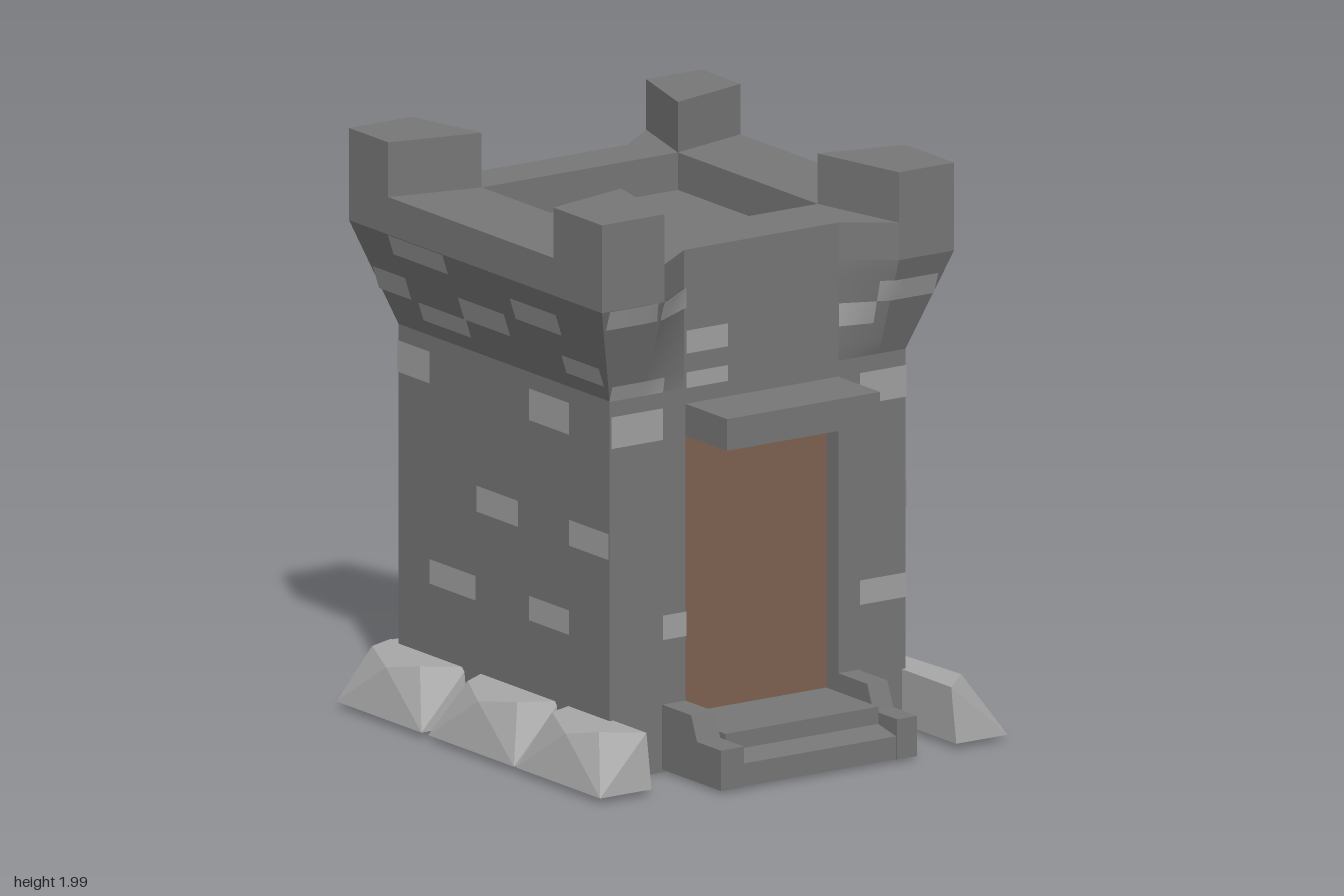
import * as THREE from 'three';
import { ConvexGeometry } from 'three/addons/geometries/ConvexGeometry.js';

const mat = (color, extra = {}) => new THREE.MeshStandardMaterial({ color, ...extra });
const V = (x, y, z) => new THREE.Vector3(x, y, z);
const clamp = THREE.MathUtils.clamp;

// Vertical prism over a plan outline given as [x, z] points
function prism(points, y0, y1, hole) {
  const toV2 = (list) => list.map(([x, z]) => new THREE.Vector2(x, -z));
  const shape = new THREE.Shape(toV2(points));
  if (hole) shape.holes.push(new THREE.Path(toV2(hole)));
  const g = new THREE.ExtrudeGeometry(shape, { depth: y1 - y0, bevelEnabled: false });
  g.rotateX(-Math.PI / 2);
  return g.translate(0, y0, 0);
}

// Prism along x over a side profile given as [z, y] points
function sidePrism(points, x0, x1) {
  const shape = new THREE.Shape(points.map(([z, y]) => new THREE.Vector2(-z, y)));
  const g = new THREE.ExtrudeGeometry(shape, { depth: x1 - x0, bevelEnabled: false });
  g.rotateY(Math.PI / 2);
  return g.translate(x0, 0, 0);
}

// Tower wall positions: the corners flare out between FLARE0 and FLARE1
const FLARE0 = 1.33, FLARE1 = 1.68, RIM = 1.81;
const flare = (y) => clamp((y - FLARE0) / (FLARE1 - FLARE0), 0, 1);
const cornerWeight = (x) => clamp((Math.abs(x - 0.015) - 0.315) / 0.165, 0, 1);
const frontZ = (x, y) => 0.55 + 0.12 * flare(y) * cornerWeight(x);
const backZ = (x, y) => -0.69 - 0.125 * flare(y) * cornerWeight(x);
const sideX = (y) => 0.605 + 0.115 * flare(y);

// Plan outline of the tower at height y, counter-clockwise from above
function outline(y) {
  const s = sideX(y);
  const xs = [-s, -0.465, -0.3, 0.33, 0.495, s];
  return [
    ...xs.map((x) => [x, frontZ(x, y)]),
    ...xs.slice().reverse().map((x) => [x, backZ(x, y)]),
  ];
}

// Skin through the outlines from y0 to y1
function loft(y0, y1, steps) {
  const pos = [], index = [], n = outline(y0).length;
  for (let i = 0; i <= steps; i++) {
    const y = y0 + ((y1 - y0) * i) / steps;
    // each wall strip has its own vertices so its edges stay crisp
    const ring = outline(y);
    ring.forEach(([x, z], j) => {
      const [x2, z2] = ring[(j + 1) % n];
      pos.push(x, y, z, x2, y, z2);
    });
  }
  for (let i = 0; i < steps; i++) {
    for (let j = 0; j < n; j++) {
      const a = i * 2 * n + 2 * j, b = a + 1, c = a + 2 * n, d = c + 1;
      index.push(a, b, d, a, d, c);
    }
  }
  const g = new THREE.BufferGeometry();
  g.setAttribute('position', new THREE.Float32BufferAttribute(pos, 3));
  g.setIndex(index);
  g.computeVertexNormals();
  return g;
}

// Thin brick patch that follows a wall
function brickPatch(wall, a0, a1, y0, y1) {
  const g = new THREE.PlaneGeometry(1, 1, 5, 2);
  const p = g.attributes.position, e = 0.005;
  for (let i = 0; i < p.count; i++) {
    const a = a0 + (a1 - a0) * (p.getX(i) + 0.5);
    const y = y0 + (y1 - y0) * (p.getY(i) + 0.5);
    if (wall === 'front') p.setXYZ(i, a, y, frontZ(a, y) + e);
    else if (wall === 'back') p.setXYZ(i, a, y, backZ(a, y) - e);
    else if (wall === 'left') p.setXYZ(i, sideX(y) + e, y, a);
    else p.setXYZ(i, -sideX(y) - e, y, a);
  }
  g.computeVertexNormals();
  return g;
}

// Rough foundation stone: length a0..a1, depth d0..d1, mapped by place(a, y, d)
function stone(a0, a1, d0, d1, place, k) {
  const len = a1 - a0, pts = [
    [a0, 0.03, d0], [a1, 0.03, d0], [a0, 0.03, d1], [a1, 0.03, d1],
    [a0 + 0.02, 0.22, d0], [a1 - 0.03, 0.22, d0],
    [a0 + len * (0.12 + 0.04 * k), 0.22, d0 + (d1 - d0) * 0.5],
    [a1 - len * (0.26 - 0.06 * k), 0.22, d0 + (d1 - d0) * 0.6],
    [a0 + len * 0.45, 0.19, d0 + (d1 - d0) * 0.78],
  ];
  return new ConvexGeometry(pts.map(([a, y, d]) => place(a, y, d)));
}

export function createModel() {
  const model = new THREE.Group();
  const wallMat = mat(0x777777);
  const brickMat = mat(0xa2a2a2, { side: THREE.DoubleSide });
  const stoneMat = mat(0xa8a8a8, { flatShading: true });
  const doorMat = mat(0x7f6350);
  const add = (name, geometry, material, parent = model) => {
    const m = new THREE.Mesh(geometry, material);
    m.name = name;
    parent.add(m);
    return m;
  };
  const box = (x0, x1, y0, y1, z0, z1) =>
    new THREE.BoxGeometry(x1 - x0, y1 - y0, z1 - z0)
      .translate((x0 + x1) / 2, (y0 + y1) / 2, (z0 + z1) / 2);

  // Tower shaft with a notch for the doorway, then the flared head
  add('shaft', prism([
    [-0.605, 0.55], [-0.295, 0.55], [-0.295, 0.47], [0.33, 0.47], [0.33, 0.55],
    [0.605, 0.55], [0.605, -0.69], [-0.605, -0.69],
  ], 0.01, 1.165), wallMat);
  add('shaftTop', prism([[-0.605, 0.55], [0.605, 0.55], [0.605, -0.69], [-0.605, -0.69]],
    1.165, FLARE0), wallMat);
  add('flaredHead', loft(FLARE0, FLARE1, 6), wallMat);

  // Parapet rim around the sunken roof
  const court = [[-0.39, 0.31], [0.412, 0.31], [0.412, -0.51], [-0.39, -0.51]];
  add('parapet', prism(outline(FLARE1), FLARE1, RIM, court), wallMat);
  add('roofFloor', box(-0.4, 0.42, 1.6, 1.68, -0.52, 0.32), wallMat);

  // Corner battlements
  for (const sx of [-1, 1]) {
    for (const front of [true, false]) {
      const o = 0.72 * sx, e = sx < 0 ? -0.465 : 0.495, c = sx < 0 ? -0.39 : 0.412;
      const [zo, ze, zc] = front ? [0.67, 0.385, 0.31] : [-0.815, -0.585, -0.51];
      add('battlement', prism([[o, zo], [e, zo], [c, zc], [o, ze]], RIM - 0.02,
        sx < 0 && !front ? 2.0 : 1.985), wallMat);
    }
  }

  // Door, lintel and entrance steps
  add('door', box(-0.295, 0.33, 0.18, 1.165, 0.44, 0.48), doorMat);
  add('lintel', box(-0.295, 0.33, 1.165, 1.275, 0.5, 0.795), wallMat);
  add('steps', sidePrism([[0.47, 0.02], [0.89, 0.02], [0.89, 0.1], [0.785, 0.12],
    [0.785, 0.18], [0.47, 0.18]], -0.295, 0.33), wallMat);
  for (const [x0, x1] of [[-0.39, -0.295], [0.33, 0.412]]) {
    add('stepCurb', sidePrism([[0.54, 0.02], [0.895, 0.02], [0.895, 0.16], [0.755, 0.16],
      [0.72, 0.245], [0.54, 0.245]], x0, x1), wallMat);
  }

  // Light bricks, listed by wall as [from, to, bottom, top]
  const sideBricks = [
    [0.085, 0.32, 1.165, 1.275], [-0.69, -0.5, 1.165, 1.275], [0.32, 0.55, 0.78, 0.87],
    [-0.225, 0.02, 0.78, 0.87], [0.085, 0.32, 0.47, 0.555], [-0.5, -0.23, 0.47, 0.555],
    [0.1, 0.37, 1.53, 1.605], [-0.58, -0.26, 1.61, 1.68], [-0.24, 0.03, 1.45, 1.53],
    [-0.74, -0.55, 1.45, 1.53], [0.33, 0.55, 1.385, 1.45], [-0.51, -0.23, 1.385, 1.45],
  ];
  const bricks = {
    front: [
      [-0.6, -0.39, 1.165, 1.275], [0.415, 0.605, 1.165, 1.275], [-0.39, -0.295, 0.47, 0.555],
      [0.415, 0.605, 0.47, 0.555], [-0.295, -0.125, 1.45, 1.53], [-0.295, -0.125, 1.33, 1.385],
      [-0.61, -0.39, 1.33, 1.385], [0.33, 0.45, 1.45, 1.53], [0.45, 0.67, 1.53, 1.605],
      [-0.69, -0.295, 1.61, 1.68],
    ],
    back: [
      [-0.04, 0.33, 0.78, 0.87], [-0.29, -0.14, 0.78, 0.87], [-0.6, -0.39, 0.78, 0.87],
      [-0.04, 0.33, 1.165, 1.275], [-0.6, -0.39, 1.165, 1.275], [0.41, 0.605, 0.47, 0.555],
      [-0.6, -0.39, 0.47, 0.555], [-0.04, 0.33, 1.53, 1.605], [-0.29, -0.14, 1.53, 1.605],
      [-0.21, -0.12, 1.45, 1.53], [-0.29, -0.21, 1.385, 1.45], [0.36, 0.62, 1.385, 1.45],
    ],
    left: sideBricks,
    right: sideBricks,
  };
  for (const wall in bricks) {
    const group = new THREE.Group();
    group.name = wall + 'Bricks';
    bricks[wall].forEach((b) => add('brick', brickPatch(wall, ...b), brickMat, group));
    model.add(group);
  }

  // Foundation stones along both sides and the back
  for (const s of [-1, 1]) {
    const place = (a, y, d) => V(s * d, y, a);
    [[-0.775, -0.275], [-0.235, 0.268], [0.282, s > 0 ? 0.87 : 0.775]].forEach(([a, b], i) =>
      add('sideStone', stone(a, b, 0.59, 0.8, place, i % 2), stoneMat));
  }
  const placeBack = (a, y, d) => V(a, y, -d);
  add('backStone', stone(-0.21, 0.63, 0.67, 0.9, placeBack, 0), stoneMat);
  add('backStone', stone(-0.7, -0.13, 0.67, 0.82, placeBack, 1), stoneMat);

  return model;
}
